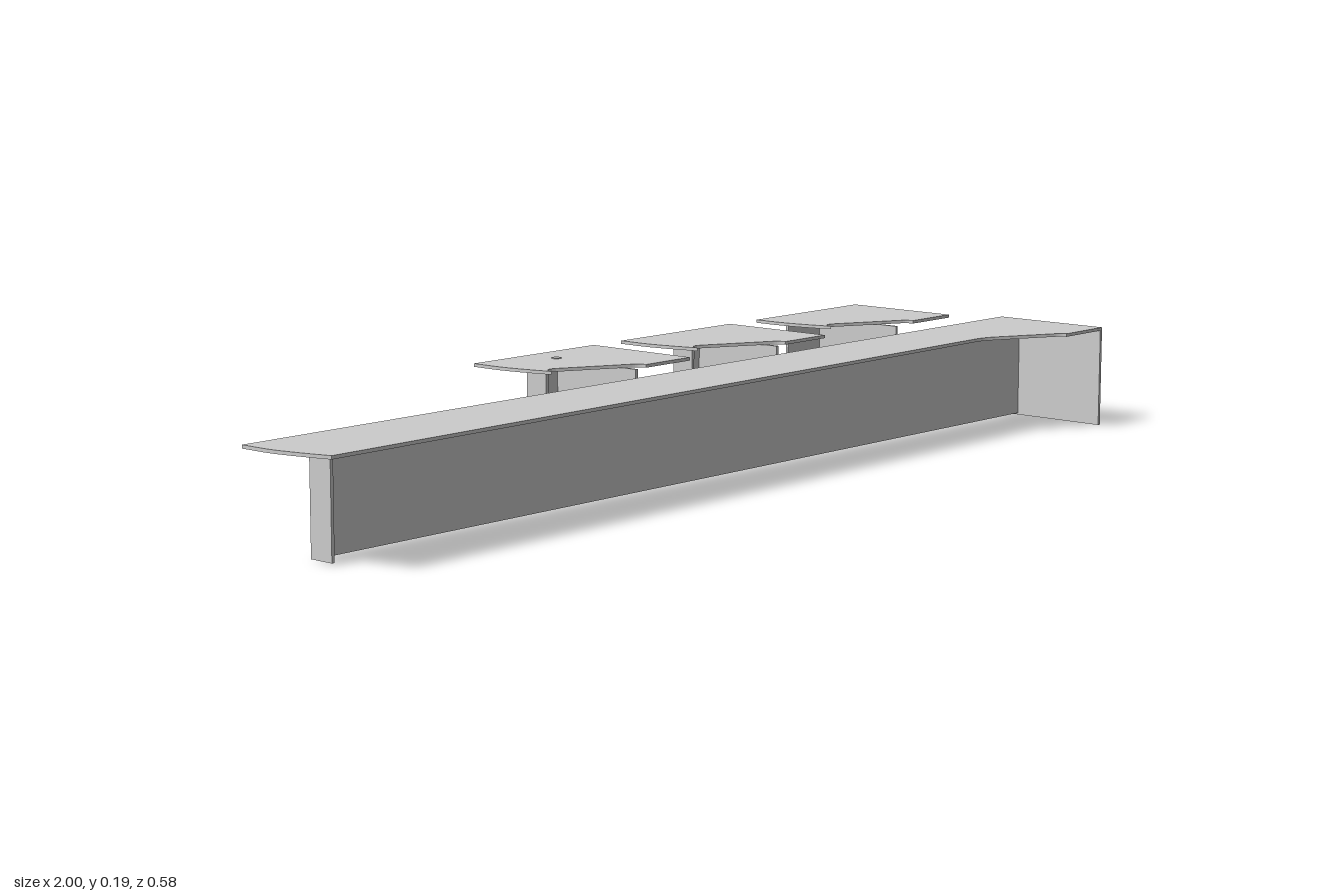
import * as THREE from 'three';

const T = 0.006;          // board thickness
const TOP = 0.193;        // height of the worktops
const UNDER = TOP - T;    // underside of the worktops
const FOOT = 0.003;       // floor gap of the long panels
const grey = new THREE.MeshStandardMaterial({ color: 0xcccccc });

// Box given by its minimum and maximum corners
function board(name, x0, x1, y0, y1, z0, z1) {
  const mesh = new THREE.Mesh(new THREE.BoxGeometry(x1 - x0, y1 - y0, z1 - z0), grey);
  mesh.position.set((x0 + x1) / 2, (y0 + y1) / 2, (z0 + z1) / 2);
  mesh.name = name;
  return mesh;
}

// Flat worktop extruded from an outline drawn in x and z
function worktop(name, shape) {
  const geo = new THREE.ExtrudeGeometry(shape, { depth: T, bevelEnabled: false, curveSegments: 6 });
  geo.rotateX(Math.PI / 2);
  const mesh = new THREE.Mesh(geo, grey);
  mesh.position.y = TOP;
  mesh.name = name;
  return mesh;
}

// Long counter: shaped top, set-back panel, end panel and short return
function makeCounter() {
  const g = new THREE.Group();
  g.name = 'counter';
  const s = new THREE.Shape();
  s.moveTo(-1, 0.048);
  s.lineTo(1, 0.048);
  s.lineTo(1, 0.288);
  s.lineTo(0.878, 0.288);
  s.quadraticCurveTo(0.875, 0.278, 0.865, 0.272);
  s.lineTo(0.75, 0.212);
  s.quadraticCurveTo(0.725, 0.199, 0.70, 0.2);
  s.lineTo(-0.973, 0.222);
  s.quadraticCurveTo(-0.998, 0.14, -1, 0.1);
  s.closePath();
  g.add(
    worktop('counterTop', s),
    board('counterBackPanel', -0.9, 1 - T, FOOT, UNDER, 0.09, 0.09 + T),
    board('counterEndPanel', 1 - T, 1, 0, UNDER, 0.048, 0.288),
    board('counterReturn', -0.9, -0.9 + T, FOOT, UNDER, 0.09 + T, 0.138)
  );
  return g;
}

// Small desk: left edge of the top, x of the spine, x range of the cross panel, x of its return
function makeDesk(name, left, spine, c0, c1, ret) {
  const g = new THREE.Group();
  g.name = name;
  const s = new THREE.Shape();
  s.moveTo(left, -0.288);
  s.lineTo(left + 0.318, -0.288);
  s.lineTo(left + 0.318, -0.048);
  s.lineTo(left + 0.198, -0.048);
  s.quadraticCurveTo(left + 0.197, -0.062, left + 0.185, -0.069);
  s.lineTo(left + 0.055, -0.136);
  s.quadraticCurveTo(left + 0.03, -0.147, left + 0.024, -0.117);
  s.quadraticCurveTo(left + 0.002, -0.19, left, -0.24);
  s.closePath();
  g.add(
    worktop('deskTop', s),
    board('deskSpine', spine - T / 2, spine + T / 2, 0, UNDER, -0.287, -0.048),
    board('deskCrossPanel', c0, c1, FOOT, UNDER, -0.247, -0.247 + T),
    board('deskReturn', ret, ret + T, FOOT, UNDER, -0.247 + T, -0.199)
  );
  return g;
}

export function createModel() {
  const model = new THREE.Group();
  model.name = 'counterAndDesks';
  model.add(
    makeCounter(),
    makeDesk('rightDesk', -0.16, 0.013, -0.065, 0.113, -0.065),
    makeDesk('middleDesk', 0.235, 0.41, 0.338, 0.513, 0.338),
    makeDesk('leftDesk', 0.635, 0.78, 0.678, 0.85, 0.841)
  );
  // Round cable cap on one desk
  const cap = new THREE.Mesh(new THREE.CylinderGeometry(0.009, 0.009, 0.002, 16), grey);
  cap.position.set(-0.013, TOP + 0.0005, -0.222);
  cap.name = 'cableCap';
  model.add(cap);
  return model;
}
